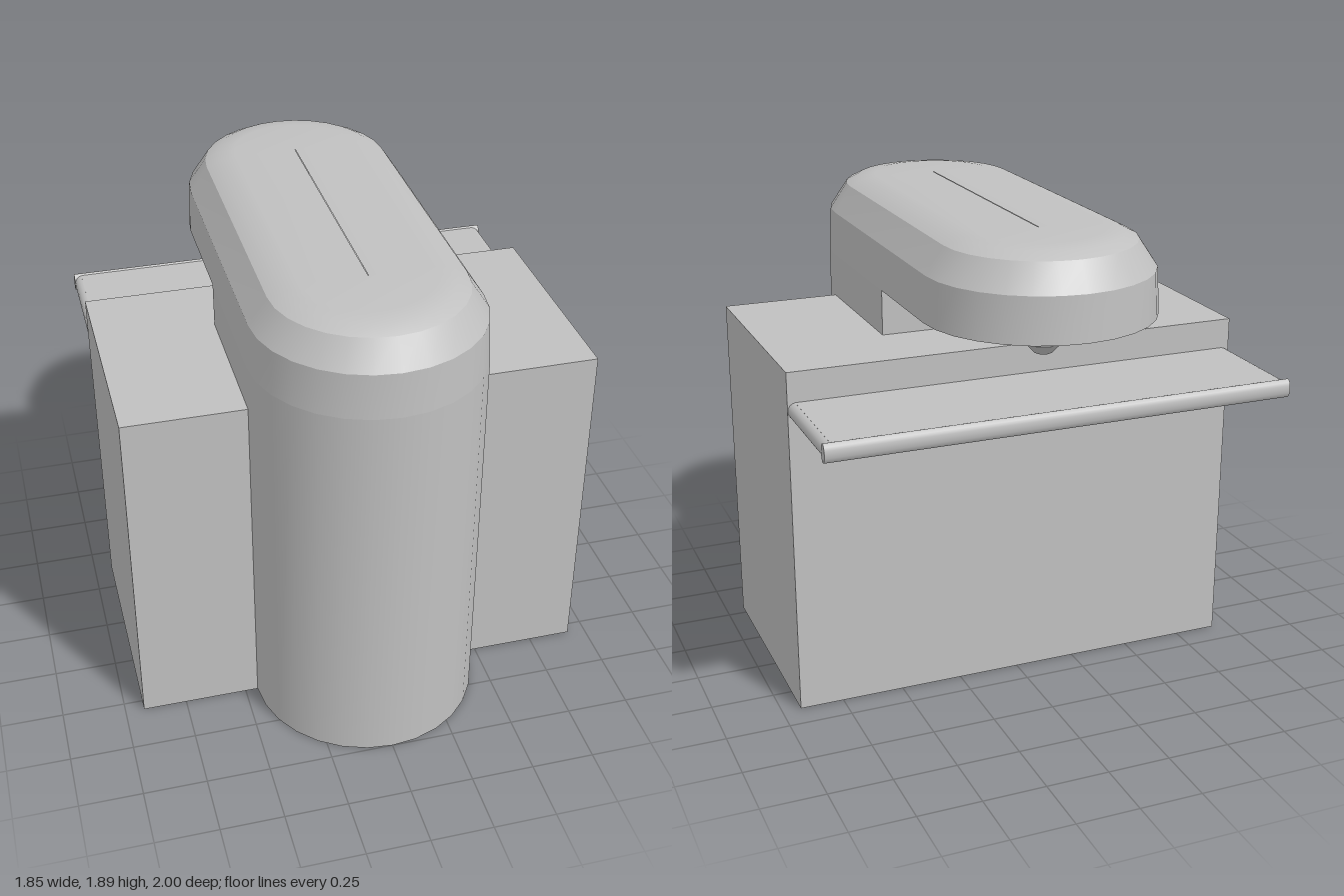
import * as THREE from 'three';
import { toCreasedNormals } from 'three/addons/utils/BufferGeometryUtils.js';

const R = 0.45, ZC = 0.55, TOP = 1.395, ARM = 1.575, NECK = -0.08, BACK = -0.39;

// Half circle of [x, z] points: side 1 is the front end, -1 the back end
function halfRound(side, r, n = 14) {
  return Array.from({ length: n + 1 }, (_, i) => {
    const t = (i / n) * Math.PI;
    return [-side * Math.cos(t) * r, side * (ZC + Math.sin(t) * r)];
  });
}

// Rounded-end outline, closed
function stadium(r) {
  const pts = [...halfRound(1, r), ...halfRound(-1, r)];
  return [...pts, pts[0]];
}

// Skin between stacked rings [{ y, pts }]
function loft(rings) {
  const pos = [], idx = [], n = rings[0].pts.length;
  for (const { y, pts } of rings) for (const [x, z] of pts) pos.push(x, y, z);
  for (let k = 0; k < rings.length - 1; k++) {
    for (let i = 0; i < n - 1; i++) {
      const a = k * n + i, b = a + 1, c = b + n, d = a + n;
      idx.push(a, b, c, a, c, d);
    }
  }
  const g = new THREE.BufferGeometry();
  g.setAttribute('position', new THREE.Float32BufferAttribute(pos, 3));
  g.setIndex(idx);
  return toCreasedNormals(g, 0.5);
}

const wall = (pts, y0, y1) => loft([{ y: y0, pts }, { y: y1, pts }]);

// Flat horizontal sheet from [x, z] points
function sheet(pts, y) {
  const g = new THREE.ShapeGeometry(new THREE.Shape(pts.map(([x, z]) => new THREE.Vector2(x, z))));
  return g.rotateX(Math.PI / 2).translate(0, y, 0);
}

export function createModel() {
  const model = new THREE.Group();
  const grey = new THREE.MeshStandardMaterial({ color: 0xc0c0c0, side: THREE.DoubleSide });
  grey.name = 'grey';
  const add = (name, geometry) => {
    const mesh = new THREE.Mesh(geometry, grey);
    mesh.name = name;
    model.add(mesh);
    return mesh;
  };

  // Hollow cabinet, open underneath and towards the column
  const W = 0.925;
  const outline = [[R, ZC], [W, ZC], [W, BACK], [-W, BACK], [-W, ZC], [-R, ZC]];
  add('cabinetWalls', wall(outline, 0, TOP));
  add('cabinetTop', sheet([...outline, [-R, NECK], [R, NECK]], TOP));

  // Rounded front column and the neck above the cabinet
  add('column', wall(halfRound(1, R), 0, ARM));
  add('neck', wall([[R, ZC], [R, NECK], [-R, NECK], [-R, ZC]], TOP, ARM));

  // Overhanging arm with a softened top edge
  const profile = [[0, ARM], [0.01, 1.75], [0.08, 1.855], [0.13, 1.88], [0.2, 1.89], [R - 0.001, 1.89]];
  add('arm', loft(profile.map(([inset, y]) => ({ y, pts: stadium(R - inset) }))));
  add('armUnderside', sheet([[R, NECK], ...halfRound(-1, R), [-R, NECK]], ARM));

  // Faceted nozzle under the arm
  const nozzle = [[0.083, ARM], [0.08, 1.55], [0.052, 1.51], [0.072, 1.49], [0.072, 1.47], [0.035, 1.43], [0, 1.425]];
  const nozzlePoints = nozzle.reverse().map(([r, y]) => new THREE.Vector2(r, y));
  const nozzleGeo = new THREE.LatheGeometry(nozzlePoints, 8).toNonIndexed();
  nozzleGeo.computeVertexNormals();
  add('nozzle', nozzleGeo).position.z = -0.61;

  // Shelf with rounded side edges and a rolled back lip
  const shelfY = 1.243, shelfEnd = -0.84, depth = BACK - shelfEnd, midZ = (BACK + shelfEnd) / 2;
  add('shelf', new THREE.BoxGeometry(1.79, 0.065, depth)).position.set(0, shelfY, midZ);
  for (const s of [-1, 1]) {
    const edge = add('shelfSideEdge', new THREE.CylinderGeometry(0.0325, 0.0325, depth, 16));
    edge.rotation.x = Math.PI / 2;
    edge.position.set(s * 0.892, shelfY, midZ);
  }
  const lip = new THREE.CylinderGeometry(0.037, 0.037, 1.85, 16).rotateZ(Math.PI / 2).scale(1, 1, 0.55);
  add('shelfLip', lip).position.set(0, shelfY, shelfEnd);

  return model;
}
